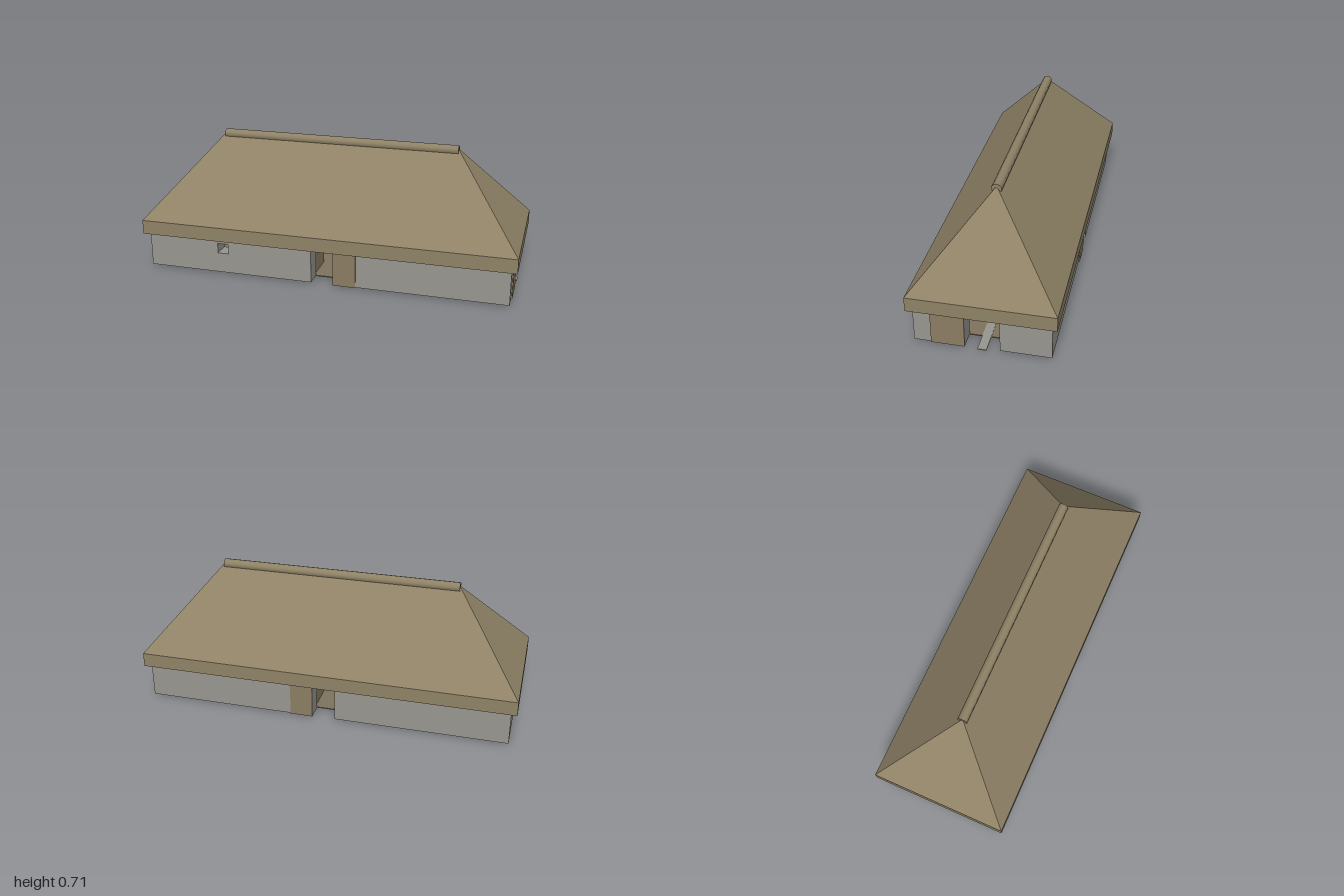
import * as THREE from 'three';

const mat = (name, color, side = THREE.FrontSide) => {
  const m = new THREE.MeshStandardMaterial({ color, side });
  m.name = name;
  return m;
};

export function createModel() {
  const model = new THREE.Group();
  model.name = 'longhouse';
  const thatch = mat('thatch', 0x8f8266);
  const wood = mat('wood', 0x8b7d63);
  const stone = mat('stone', 0x989690);
  const earth = mat('earth', 0x7f735c);

  const add = (name, geometry, material) => {
    const m = new THREE.Mesh(geometry, material);
    m.name = name;
    model.add(m);
    return m;
  };
  // Box given by its minimum and maximum along each axis
  const block = (name, material, x0, x1, y0, y1, z0, z1) => {
    const m = add(name, new THREE.BoxGeometry(x1 - x0, y1 - y0, z1 - z0), material);
    m.position.set((x0 + x1) / 2, (y0 + y1) / 2, (z0 + z1) / 2);
    return m;
  };

  const X = 0.97, Z = 0.335, T = 0.09, BASE = 0.006, EAVE = 0.192;
  const xi = X - T, zi = Z - T;

  // Long walls, split by the cross passage
  block('frontWallLeft', stone, 0.06, X, BASE, EAVE, zi, Z);
  block('backWallLeft', stone, 0.06, X, BASE, EAVE, -Z, -zi);
  block('backWallRight', stone, -X, -0.06, BASE, EAVE, -Z, -zi);

  // Front wall with its small window opening
  const wall = new THREE.Shape([[-X, BASE], [-0.06, BASE], [-0.06, EAVE], [-X, EAVE]]
    .map(p => new THREE.Vector2(...p)));
  wall.holes.push(new THREE.Path([[-0.58, 0.115], [-0.58, 0.175], [-0.52, 0.175], [-0.52, 0.115]]
    .map(p => new THREE.Vector2(...p))));
  add('frontWallRight', new THREE.ExtrudeGeometry(wall, { depth: T, bevelEnabled: false }), stone)
    .position.z = zi;
  block('windowLintel', wood, -0.58, -0.52, 0.167, 0.175, zi, Z - 0.002);

  // End walls; the left one has the byre doorway
  block('rightEndWall', stone, -X, -xi, BASE, EAVE, -zi, zi);
  block('leftEndWall', stone, xi, X, BASE, EAVE, 0.085, zi);
  block('leftEndWall', stone, xi, X, BASE, EAVE, -zi, -0.085);

  // Open door leaves, folded back against the walls
  block('frontDoor', wood, 0.06, 0.18, BASE, EAVE, Z, Z + 0.006);
  block('backDoor', wood, 0.06, 0.18, BASE, EAVE, -Z - 0.006, -Z);
  block('byreDoor', wood, X, X + 0.006, BASE, EAVE, 0.085, 0.25);

  // Passage screens and byre stalls, mirrored about the central aisle
  for (const s of [-1, 1]) {
    const z0 = s > 0 ? 0.055 : -zi, z1 = s > 0 ? zi : -0.055;
    block('passageScreen', wood, 0.07, 0.085, BASE, EAVE, z0, z1);
    block('passageScreen', wood, -0.085, -0.07, BASE, EAVE, z0, z1);
    for (const x of [0.28, 0.48, 0.68])
      block('stallPartition', wood, x, x + 0.012, BASE, 0.15, z0, z1);
  }

  // Floors, drain and hearth
  block('livingFloor', earth, -xi, 0.09, 0.003, 0.008, -zi, zi);
  block('byreFloor', earth, 0.09, xi, 0, 0.006, -zi, zi);
  block('drain', stone, 0.1, 0.98, 0.003, 0.008, -0.022, 0.022);
  add('hearth', new THREE.CylinderGeometry(0.07, 0.075, 0.016, 20), stone).position.set(-0.45, 0.014, 0);

  // Hipped roof: eave band rings rising to a ridge line
  const ring = (x, y, z) => [[x, y, z], [x, y, -z], [-x, y, -z], [-x, y, z]];
  const rings = [ring(1, 0.192, 0.362), ring(1, 0.268, 0.362), ring(0.64, 0.693, 0.006)];
  const pos = [];
  const quad = (a, b, c, d) => pos.push(...a, ...b, ...c, ...a, ...c, ...d);
  for (let r = 0; r < 2; r++)
    for (let i = 0; i < 4; i++) {
      const j = (i + 1) % 4;
      quad(rings[r][i], rings[r][j], rings[r + 1][j], rings[r + 1][i]);
    }
  quad(...rings[2]);
  quad(...[...rings[0]].reverse());
  const roof = new THREE.BufferGeometry();
  roof.setAttribute('position', new THREE.Float32BufferAttribute(pos, 3));
  roof.computeVertexNormals();
  add('thatchedRoof', roof, thatch);

  // Ridge roll
  const ridge = new THREE.CylinderGeometry(0.026, 0.026, 1.28, 10);
  ridge.rotateY(Math.PI / 10).rotateZ(Math.PI / 2);
  add('ridgeRoll', ridge, thatch).position.y = 0.688;

  return model;
}
